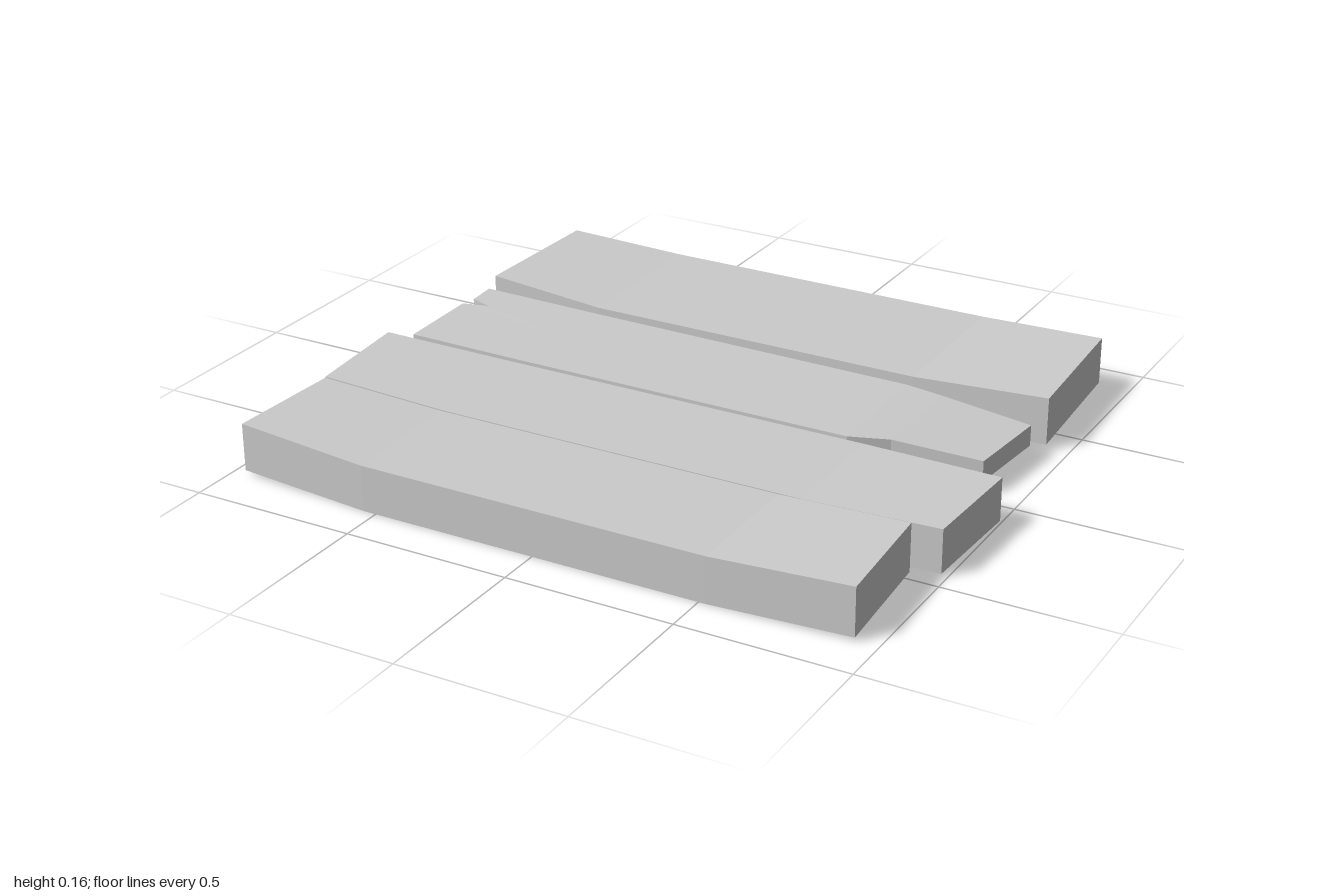
import * as THREE from 'three';

const material = new THREE.MeshStandardMaterial({ color: 0xcccccc, flatShading: true });

// Lofts a board along x. Each station is { bottom, top, line }, where line holds [x, z] points from back to front.
function makeBoard(name, stations) {
  const positions = [];
  const last = stations.length - 1;
  const across = stations[0].line.length - 1;
  const point = (i, j, side) => {
    const [x, z] = stations[i].line[j];
    return [x, stations[i][side], z];
  };
  const quad = (a, b, c, d) => positions.push(...a, ...b, ...c, ...a, ...c, ...d);

  // Upper and lower faces
  for (let i = 0; i < last; i++) {
    for (let j = 0; j < across; j++) {
      const corners = [[i, j], [i + 1, j], [i + 1, j + 1], [i, j + 1]];
      quad(...corners.map(([u, v]) => point(u, v, 'bottom')));
      quad(...corners.reverse().map(([u, v]) => point(u, v, 'top')));
    }
  }

  // Walls around the outline
  const outline = [];
  for (let j = 0; j < across; j++) outline.push([0, j]);
  for (let i = 0; i < last; i++) outline.push([i, across]);
  for (let j = across; j > 0; j--) outline.push([last, j]);
  for (let i = last; i > 0; i--) outline.push([i, 0]);
  outline.forEach((p, k) => {
    const q = outline[(k + 1) % outline.length];
    quad(point(...p, 'bottom'), point(...q, 'bottom'), point(...q, 'top'), point(...p, 'top'));
  });

  const geometry = new THREE.BufferGeometry();
  geometry.setAttribute('position', new THREE.Float32BufferAttribute(positions, 3));
  geometry.computeVertexNormals();
  const mesh = new THREE.Mesh(geometry, material);
  mesh.name = name;
  return mesh;
}

// Straight station divided evenly into a number of strips
function station(bottom, top, back, front, strips = 1) {
  const line = [];
  for (let j = 0; j <= strips; j++) {
    const t = j / strips;
    line.push([back[0] + (front[0] - back[0]) * t, back[1] + (front[1] - back[1]) * t]);
  }
  return { bottom, top, line };
}

export function createModel() {
  const group = new THREE.Group();
  group.name = 'woodenPlanks';

  // Whole planks, curling up slightly at both ends
  group.add(makeBoard('frontPlank', [
    station(0.012, 0.155, [-0.945, 0.48], [-0.96, 0.845]),
    station(0, 0.137, [-0.55, 0.474], [-0.54, 0.87]),
    station(0, 0.137, [0.52, 0.474], [0.52, 0.87]),
    station(0.012, 0.155, [0.91, 0.483], [0.935, 0.858]),
  ]));
  group.add(makeBoard('longPlank', [
    station(0.01, 0.14, [-1, 0.09], [-0.97, 0.447]),
    station(0, 0.132, [-0.56, 0.078], [-0.55, 0.46]),
    station(0, 0.132, [0.58, 0.078], [0.58, 0.46]),
    station(0.01, 0.14, [1, 0.1], [0.985, 0.45]),
  ]));
  group.add(makeBoard('widePlank', [
    station(0.018, 0.162, [-0.92, -0.865], [-0.935, -0.4]),
    station(0.008, 0.145, [-0.54, -0.88], [-0.54, -0.37]),
    station(0.008, 0.145, [0.52, -0.88], [0.52, -0.37]),
    station(0.018, 0.162, [0.91, -0.862], [0.935, -0.385]),
  ]));

  // Broken plank: notched at one end, splintered and thinning at the other
  group.add(makeBoard('brokenPlank', [
    {
      bottom: 0.015,
      top: 0.136,
      line: [[-0.93, -0.355], [-0.925, -0.26], [-0.853, -0.235], [-0.935, -0.215], [-0.93, 0.06]],
    },
    station(0.01, 0.134, [-0.54, -0.349], [-0.54, 0.062], 4),
    station(0.01, 0.134, [0.52, -0.333], [0.52, 0.062], 4),
    station(0.018, 0.127, [0.63, -0.328], [0.63, 0.008], 4),
    station(0.042, 0.105, [0.915, -0.31], [0.89, -0.033], 4),
  ]));

  return group;
}
